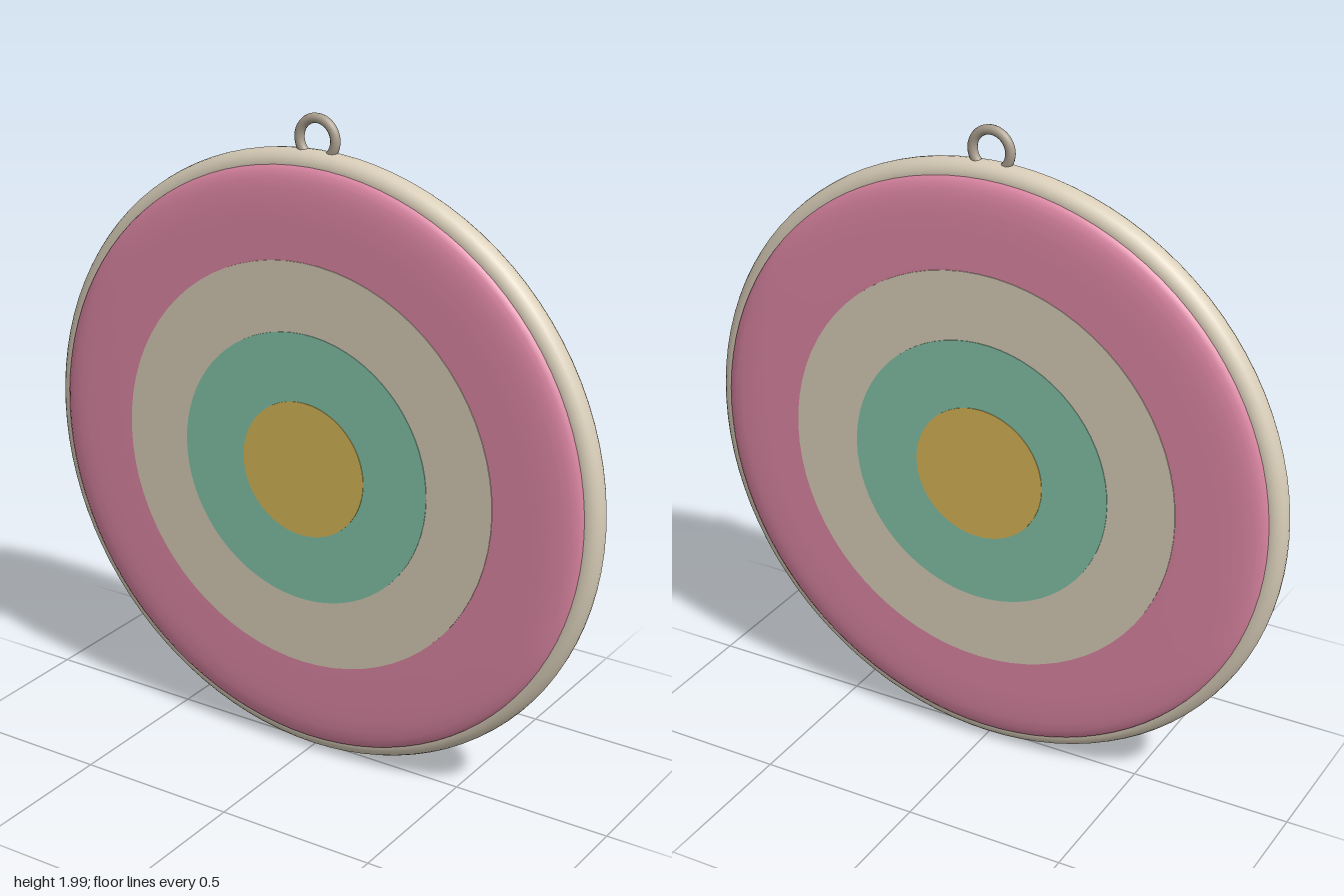
import * as THREE from 'three';

const CENTER_Y = 0.951;

function material(name, color) {
  const m = new THREE.MeshStandardMaterial({ color });
  m.name = name;
  return m;
}

export function createModel() {
  const pink = material('pink', 0xdc86a3);
  const cream = material('cream', 0xd8cdb8);
  const teal = material('teal', 0x84c3a9);
  const gold = material('gold', 0xd8b757);
  const metal = material('metal', 0xaba08f);

  const model = new THREE.Group();
  model.name = 'roundPendant';
  const add = (name, geometry, mat, y = CENTER_Y, z = 0) => {
    const mesh = new THREE.Mesh(geometry, mat);
    mesh.name = name;
    mesh.position.set(0, y, z);
    model.add(mesh);
  };

  // Pillow-edged disc: half profile as [radius, depth], mirrored front to back
  const half = [[0.905, 0], [0.905, 0.035], [0.9, 0.047], [0.888, 0.057], [0.868, 0.064],
    [0.84, 0.069], [0.8, 0.072], [0.74, 0.0735], [0.64, 0.074], [0, 0.074]];
  const profile = [
    ...half.slice(1).reverse().map(([r, d]) => new THREE.Vector2(r, -d)),
    ...half.map(([r, d]) => new THREE.Vector2(r, d)),
  ];
  add('disc', new THREE.LatheGeometry(profile, 96).rotateX(Math.PI / 2), pink);

  // Rounded rim and hanging loop
  add('rim', new THREE.TorusGeometry(0.902, 0.042, 20, 96), cream);
  add('hangingLoop', new THREE.TorusGeometry(0.06, 0.0145, 12, 40), metal, 1.9255);

  // Concentric painted circles, stacked as thin plates on both faces
  const circles = [['outerCircle', 0.632, cream], ['middleCircle', 0.42, teal], ['centerCircle', 0.21, gold]];
  for (const side of [1, -1]) {
    circles.forEach(([name, radius, mat], i) => {
      const plate = new THREE.CylinderGeometry(radius, radius, 0.004, 72).rotateX(Math.PI / 2);
      add((side > 0 ? 'front_' : 'back_') + name, plate, mat, CENTER_Y, side * (0.0745 + i * 0.002));
    });
  }
  return model;
}
